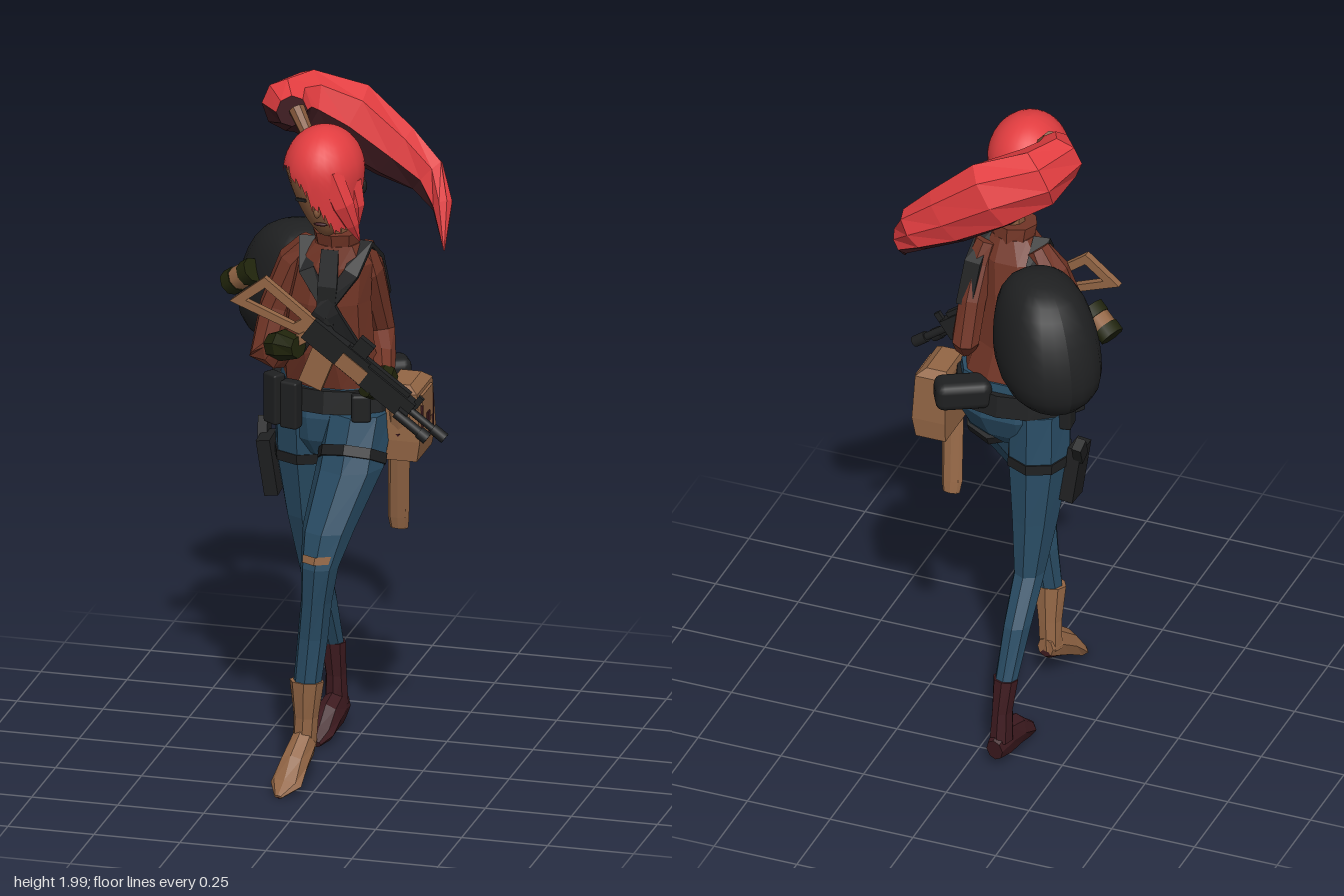
import * as THREE from 'three';
import { RoundedBoxGeometry } from 'three/addons/geometries/RoundedBoxGeometry.js';

const mat = (name, color, side = THREE.FrontSide) => {
  const m = new THREE.MeshStandardMaterial({ color, side });
  m.name = name;
  return m;
};
const V = (x, y, z) => new THREE.Vector3(x, y, z);
const X = V(1, 0, 0), Y = V(0, 1, 0), Z = V(0, 0, 1);

// Skin of elliptical rings [x, y, z, r1, r2]; level rings when ref is null.
// pick(i, j) chooses faces; i = -1 and i = last are the caps.
function loft(pts, n = 8, ref = null, pick = () => true) {
  const last = pts.length - 1, out = [];
  const c = pts.map(p => V(p[0], p[1], p[2]));
  const rings = pts.map((p, i) => {
    const T = c[Math.min(i + 1, last)].clone().sub(c[Math.max(i - 1, 0)]);
    if (!ref) T.set(0, Math.sign(T.y), 0);
    T.normalize();
    const U = (ref || Z).clone().cross(T).normalize(), W = T.clone().cross(U);
    return Array.from({ length: n }, (_, j) => {
      const a = (j + (n === 4 ? 0.5 : 0)) / n * Math.PI * 2, k = n === 4 ? Math.SQRT2 : 1;
      return c[i].clone().addScaledVector(U, Math.cos(a) * p[3] * k).addScaledVector(W, Math.sin(a) * p[4] * k);
    });
  });
  const tri = (...v) => v.forEach(q => out.push(q.x, q.y, q.z));
  for (let j = 0; j < n; j++) {
    const k = (j + 1) % n;
    if (pick(-1, j)) tri(c[0], rings[0][k], rings[0][j]);
    for (let i = 0; i < last; i++) if (pick(i, j)) {
      tri(rings[i][j], rings[i][k], rings[i + 1][k]);
      tri(rings[i][j], rings[i + 1][k], rings[i + 1][j]);
    }
    if (pick(last, j)) tri(c[last], rings[last][j], rings[last][k]);
  }
  const g = new THREE.BufferGeometry();
  g.setAttribute('position', new THREE.Float32BufferAttribute(out, 3));
  g.computeVertexNormals();
  return g;
}

export function createModel() {
  const hair = mat('hairRed', 0xe23d40, THREE.DoubleSide), skin = mat('skin', 0x84573a);
  const tan = mat('tan', 0x936645), rust = mat('rust', 0x713526), denim = mat('denim', 0x294c64);
  const black = mat('black', 0x1f2021), olive = mat('olive', 0x20240b), maroon = mat('maroon', 0x3d1a1f, THREE.DoubleSide);
  const root = new THREE.Group();
  const add = (name, geo, m, pos = [0, 0, 0], rot = [0, 0, 0], parent = root) => {
    const mesh = new THREE.Mesh(geo, m);
    mesh.name = name;
    mesh.position.set(...pos);
    mesh.rotation.set(...rot);
    parent.add(mesh);
    return mesh;
  };
  const box = (w, h, d) => new THREE.BoxGeometry(w, h, d);
  const ball = (name, m, pos, s) => add(name, new THREE.SphereGeometry(1, 12, 8), m, pos).scale.set(...s);

  // Legs and hips
  add('hips', loft([[-.03, .93, -.03, .08, .06], [-.025, .98, -.04, .14, .1], [-.02, 1.05, -.05, .17, .12], [-.02, 1.16, -.05, .155, .1]], 10), denim);
  add('leftLeg', loft([[.065, 1.07, -.02, .095, .115], [.052, .92, .05, .097, .1], [.014, .76, .14, .075, .08], [0, .66, .185, .055, .055],
    [-.012, .55, .175, .045, .05], [-.025, .44, .165, .044, .045], [-.04, .29, .175, .04, .032]]), denim);
  add('rightLeg', loft([[-.105, 1.07, -.05, .09, .11], [-.108, .9, -.07, .09, .1], [-.105, .72, -.09, .068, .08], [-.1, .55, -.12, .045, .055],
    [-.096, .42, -.2, .04, .05], [-.085, .25, -.27, .032, .028]]), denim);
  add('kneePatch', loft([[.001, .7, .167, .058, .07], [-.002, .678, .176, .054, .066]], 8, null, (i, j) => i === 0 && (j === 1 || j === 2)), tan);

  // Boots
  const sole = (i, j) => j === 5 || j === 6;
  const leftFoot = [[-.045, .12, .13, .025, .03], [-.05, .12, .17, .036, .05], [-.06, .08, .235, .042, .04], [-.07, .035, .285, .048, .02], [-.08, .012, .33, .012, .006]];
  const rightFoot = [[-.075, .06, -.325, .025, .035], [-.08, .07, -.27, .035, .06], [-.085, .06, -.205, .04, .048], [-.09, .033, -.145, .04, .026], [-.09, .018, -.1, .015, .01]];
  add('leftBootShaft', loft([[-.04, .31, .175, .05, .036], [-.045, .2, .165, .036, .033], [-.05, .11, .162, .034, .036]]), tan);
  add('leftBootFoot', loft(leftFoot, 8, Y, (i, j) => !sole(i, j)), tan);
  add('leftBootSole', loft(leftFoot, 8, Y, sole), maroon);
  add('rightBootShaft', loft([[-.085, .27, -.264, .037, .034], [-.08, .17, -.278, .03, .034], [-.08, .08, -.285, .034, .042]]), maroon);
  add('rightBootFoot', loft(rightFoot, 8, Y), maroon);

  // Jacket and arms
  add('jacket', loft([[-.02, 1.14, -.045, .15, .105], [-.03, 1.25, -.015, .135, .105], [-.02, 1.4, .005, .12, .1], [-.005, 1.51, .01, .11, .08], [.005, 1.57, .02, .065, .055]], 10), rust);
  add('collar', loft([[.005, 1.55, .015, .06, .055], [.005, 1.605, .025, .068, .058]], 8), rust);
  add('leftArm', loft([[.07, 1.55, -.015, .035, .035], [.085, 1.48, -.03, .052, .042], [.09, 1.38, -.08, .05, .04], [.095, 1.27, -.12, .042, .04],
    [.12, 1.21, -.05, .04, .036], [.14, 1.185, .02, .033, .032]], 8, X), rust);
  add('rightArm', loft([[-.08, 1.55, -.01, .035, .035], [-.125, 1.49, -.02, .055, .05], [-.178, 1.35, -.01, .054, .05], [-.2, 1.215, .035, .048, .045],
    [-.155, 1.24, .075, .048, .045], [-.13, 1.27, .095, .036, .036]], 8, X), rust);
  add('leftGlove', loft([[.145, 1.18, .015, .036, .036], [.15, 1.175, .06, .04, .04], [.13, 1.17, .1, .035, .038], [.115, 1.17, .135, .015, .02]], 8, X), olive);
  add('rightGlove', loft([[-.155, 1.265, .085, .04, .04], [-.125, 1.28, .115, .045, .042], [-.075, 1.285, .135, .032, .034]], 8, X), olive);

  // Straps over the shoulders and across the chest
  for (const s of [-1, 1]) {
    add('shoulderStrap', loft([[s * .1, 1.38, -.115, .008, .024], [s * .09, 1.5, -.075, .008, .024], [s * .083, 1.568, .01, .008, .024],
      [s * .065, 1.5, .085, .008, .022], [-s * .02, 1.38, .11, .008, .02], [-s * .09, 1.26, .09, .008, .02]], 4, X), black);
  }
  add('chestPanel', loft([[0, 1.56, .07, .008, .025], [0, 1.46, .1, .008, .028], [-.005, 1.35, .108, .008, .025]], 4, X), black);

  // Belt and what hangs from it
  add('belt', loft([[-.02, 1.07, -.05, .178, .128], [-.02, 1.135, -.05, .168, .118]], 12), black);
  for (const [x, y, z, h, r] of [[-.175, 1.09, .03, .15, -.6], [-.115, 1.09, .07, .14, -.25], [.09, 1.1, .075, .08, .3], [-.19, 1.08, -.07, .12, -1.5]])
    add('beltPouch', new RoundedBoxGeometry(.055, h, .04, 1, .008), black, [x, y, z], [0, r, 0]);
  add('hipPack', new RoundedBoxGeometry(.16, .085, .09, 2, .025), black, [.085, 1.125, -.165], [0, .5, 0]);
  add('sideBag', loft([[.19, .93, -.067, .045, .08], [.195, .99, -.067, .05, .085], [.19, 1.13, -.067, .046, .082], [.18, 1.15, -.067, .03, .06]], 4), tan);
  add('sideBagFlap', box(.01, .09, .11), tan, [.24, 1.075, -.067]);
  for (const s of [-1, 1]) add('sideBagSeam', box(.006, .1, .006), maroon, [.244, 1.04, -.067 + s * .055]);
  add('sideBagTrim', box(.006, .006, .11), maroon, [.244, .99, -.067]);
  add('sideBagClasp', box(.008, .03, .025), maroon, [.245, 1.04, -.067]);
  add('sheath', loft([[.165, .705, -.055, .026, .012], [.165, .74, -.048, .031, .013], [.18, 1.0, 0, .032, .013], [.19, 1.11, .02, .035, .014]], 8), tan);
  add('sheathBand', loft([[.18, .99, 0, .034, .016], [.181, 1.01, .003, .034, .016]], 8), maroon);
  const holster = new THREE.Group();
  holster.name = 'holster';
  holster.position.set(-.208, .865, -.05);
  holster.rotation.z = .12;
  root.add(holster);
  add('holsterBody', box(.04, .17, .08), black, [0, 0, 0], [.1, 0, 0], holster);
  add('holsterGrip', box(.028, .07, .04), black, [-.015, .09, -.03], [-.5, 0, 0], holster);
  add('leftThighStrap', loft([[.056, .93, .05, .106, .1], [.056, .957, .036, .106, .1]], 8, X), black);
  add('rightThighStrap', loft([[-.108, .895, -.07, .094, .104], [-.108, .925, -.068, .094, .105]]), black);

  // Backpack: a ball pushed slightly toward a box, leaning in toward the shoulders
  const pack = new THREE.SphereGeometry(1, 24, 16), pp = pack.attributes.position;
  for (let i = 0; i < pp.count; i++) {
    const v = V().fromBufferAttribute(pp, i);
    const k = Math.pow(v.x ** 4 + v.y ** 4 + v.z ** 4, -.1) * (1 - .14 * v.y);
    pp.setXYZ(i, v.x * k * .168 + .04 * v.y, v.y * Math.min(k, 1) * .21, v.z * k * .138);
  }
  pack.computeVertexNormals();
  add('backpack', pack, black, [-.17, 1.375, -.172], [0, -Math.PI / 4, 0]);
  // Canteen on the side of the pack
  const canteen = new THREE.Group();
  canteen.name = 'canteen';
  canteen.position.set(-.3, 1.4, -.08);
  canteen.rotation.set(0, -.4, .6);
  root.add(canteen);
  for (const s of [-1, 1]) add('canteenEnd', new THREE.CylinderGeometry(.037, .037, .034, 8), olive, [s * .035, 0, 0], [0, 0, Math.PI / 2], canteen);
  add('canteenMiddle', new THREE.CylinderGeometry(.034, .034, .042, 8), tan, [0, 0, 0], [0, 0, Math.PI / 2], canteen);

  // Head: skull ball with a tapered jaw
  add('neck', loft([[.01, 1.53, .01, .034, .034], [.005, 1.62, .03, .03, .033], [0, 1.72, .06, .045, .05]]), skin);
  const head = new THREE.SphereGeometry(1, 20, 16), hp = head.attributes.position;
  for (let i = 0; i < hp.count; i++) {
    const v = V().fromBufferAttribute(hp, i), t = Math.max(0, -v.y);
    hp.setXYZ(i, v.x * .106 * (1 - .35 * t) + .018 * t, v.y * (v.y < 0 ? .185 : .115), v.z * .117 * (1 - .3 * t) + .03 * t);
  }
  head.computeVertexNormals();
  add('head', head, skin, [-.018, 1.8, .072]);
  ball('leftEar', skin, [.078, 1.745, .03], [.012, .032, .022]);
  ball('rightEar', skin, [-.105, 1.745, .03], [.012, .032, .022]);
  ball('earPiece', black, [.087, 1.745, .033], [.008, .02, .014]);
  ball('nose', skin, [-.008, 1.71, .181], [.01, .018, .015]);
  ball('mouth', maroon, [-.004, 1.667, .161], [.02, .005, .006]);
  for (const s of [-1, 1]) add('eye', box(.034, .009, .006), black, [-.013 + s * .045, 1.738, .17], [0, s * .4, s * -.1]);

  // Hair cap: the rim angle varies around the head, longest over the left eye
  const rim = [[-180, 100], [-120, 98], [-80, 86], [-45, 82], [-15, 100], [10, 122], [30, 146], [45, 154], [62, 146], [82, 128], [105, 98], [140, 100], [180, 100]];
  const rimAt = a => {
    const i = Math.max(1, rim.findIndex(r => a <= r[0]));
    const [a0, b0] = rim[i - 1], [a1, b1] = rim[i];
    return b0 + (b1 - b0) * (a - a0) / (a1 - a0);
  };
  const cap = new THREE.SphereGeometry(1, 40, 14), cp = cap.attributes.position, uv = cap.attributes.uv;
  for (let i = 0; i < cp.count; i++) {
    const col = i % 41, u = col / 40 * Math.PI * 2;
    const az = Math.atan2(-Math.cos(u), Math.sin(u)) * 180 / Math.PI;
    const th = (1 - uv.getY(i)) * (rimAt(az) + (col % 4 === 2 ? 8 : 0)) * Math.PI / 180;
    const d = Math.max(0, th - Math.PI / 2), r = d > 0 ? 1 - .13 * d : Math.sin(th);
    cp.setXYZ(i, -Math.cos(u) * r * .114, Math.cos(th) * (d > 0 ? .175 : .128), Math.sin(u) * r * .13);
  }
  cap.computeVertexNormals();
  add('hairCap', cap, hair, [-.018, 1.8, .072]);
  // Loose locks of the fringe
  add('fringeLock', loft([[.02, 1.82, .16, .04, .03], [.06, 1.73, .16, .035, .03], [.082, 1.67, .145, .022, .02], [.1, 1.615, .125, .002, .002]], 6, Z), hair);
  add('sideLock', loft([[.06, 1.78, .1, .04, .03], [.08, 1.71, .1, .028, .02], [.088, 1.65, .09, .002, .002]], 6, Z), hair);

  // Ponytail with a darker underside
  const tail = [[-.14, 1.925, -.03, .045, .045], [-.172, 1.92, -.09, .072, .075], [-.145, 1.905, -.175, .085, .093], [-.03, 1.85, -.228, .08, .11],
    [.1, 1.755, -.243, .056, .09], [.195, 1.69, -.245, .043, .066], [.25, 1.62, -.205, .028, .045], [.275, 1.515, -.13, .002, .002]];
  const under = (i, j) => i < 0 || (j >= 4 && j <= 6) || (i === 0 && j === 7);
  add('ponytail', loft(tail, 8, Y, (i, j) => !under(i, j)), hair);
  add('ponytailUnderside', loft(tail, 8, Y, under), maroon);
  add('hairTie', loft([[-.085, 1.885, .015, .02, .02], [-.125, 1.935, -.025, .024, .024]], 8, Y), skin);

  // Rifle, built along its own x axis
  const rifle = new THREE.Group();
  rifle.name = 'rifle';
  rifle.position.set(0, 1.29, .12);
  rifle.rotation.set(0, -.02, -.63);
  root.add(rifle);
  const part = (name, geo, m, pos, rot) => add(name, geo, m, pos, rot, rifle);
  const poly = p => p.map(q => new THREE.Vector2(...q));
  const stock = new THREE.Shape(poly([[-.29, -.075], [-.05, -.01], [-.04, .045], [-.255, .05]]));
  stock.holes.push(new THREE.Path(poly([[-.255, -.042], [-.235, .025], [-.1, .022], [-.11, -.005]])));
  part('stock', new THREE.ExtrudeGeometry(stock, { depth: .022, bevelEnabled: false }), tan, [0, 0, -.011]);
  part('receiver', box(.2, .07, .034), black, [.03, .015, 0]);
  part('handguard', box(.09, .045, .042), tan, [.095, .005, 0]);
  part('grip', box(.03, .08, .026), tan, [-.075, -.045, 0], [0, 0, -.4]);
  part('magazine', box(.07, .11, .024), tan, [.02, -.068, 0], [0, 0, .25]);
  part('foreBody', box(.17, .062, .038), black, [.215, .01, 0]);
  part('topRail', box(.22, .014, .02), black, [.16, .048, 0]);
  part('rearSight', box(.05, .05, .022), black, [.085, .07, 0]);
  part('frontSight', box(.018, .04, .012), black, [.3, .045, 0]);
  const rod = (name, r, len, x, y, z) => part(name, new THREE.CylinderGeometry(r, r, len, 10), black, [x, y, z], [0, 0, Math.PI / 2]);
  rod('barrel', .011, .14, .34, .012, 0);
  rod('muzzle', .016, .045, .4, .012, 0);
  rod('lampBody', .014, .11, .325, -.005, .038);
  rod('lampHead', .018, .03, .37, -.005, .038);
  part('lampMount', box(.03, .02, .04), black, [.285, 0, .022]);
  return root;
}
